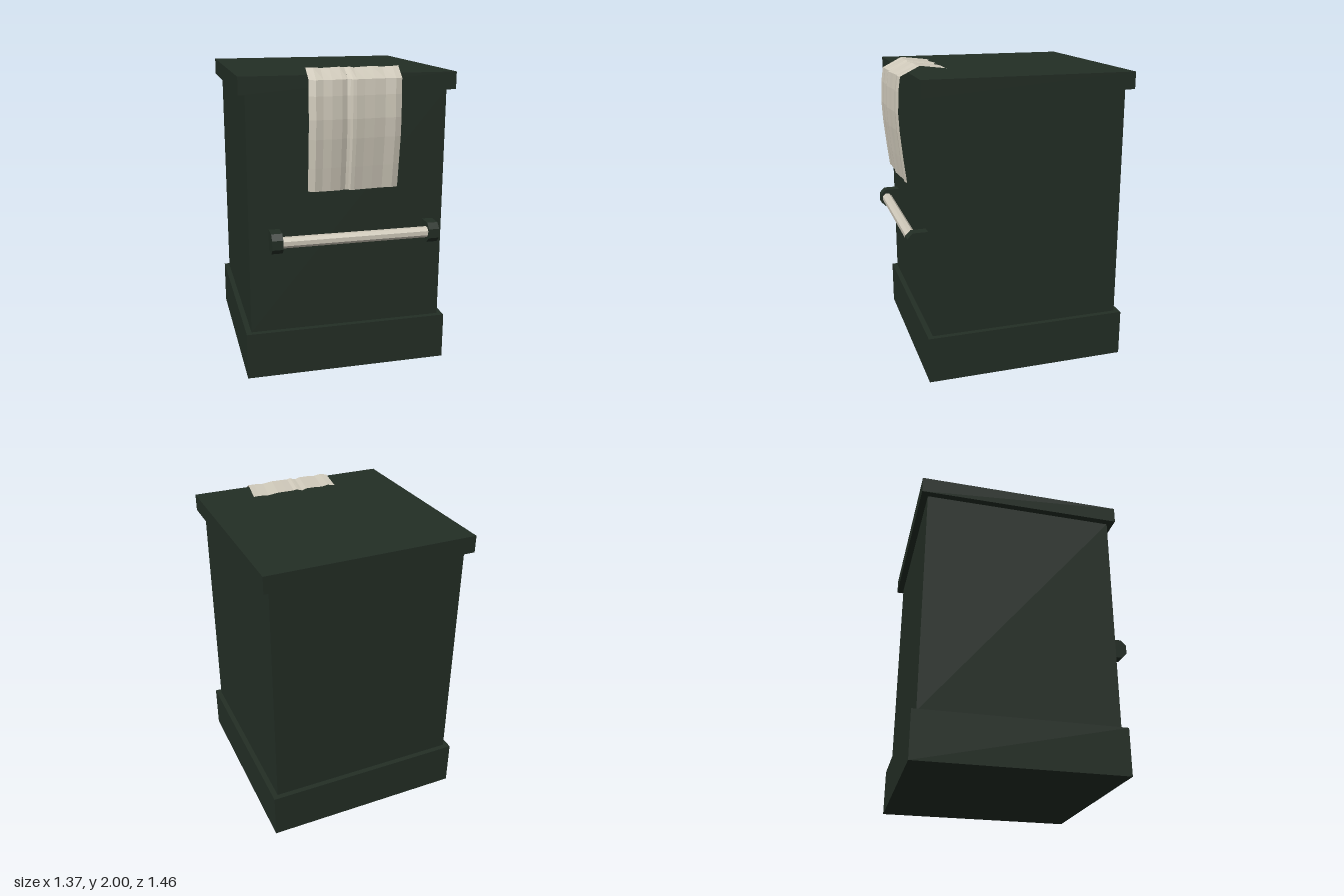
import * as THREE from 'three';

const green = new THREE.MeshStandardMaterial({ color: 0x232e25, flatShading: true });
green.name = 'dark green enamel';
const cream = new THREE.MeshStandardMaterial({ color: 0xcfc9ba, flatShading: true, side: THREE.DoubleSide });
cream.name = 'cream';

function add(group, name, geometry, material, x = 0, y = 0, z = 0) {
  const mesh = new THREE.Mesh(geometry, material);
  mesh.name = name;
  mesh.position.set(x, y, z);
  group.add(mesh);
  return mesh;
}

// Square slab between two heights
function slab(group, name, size, y0, y1) {
  add(group, name, new THREE.BoxGeometry(size, y1 - y0, size), green, 0, (y0 + y1) / 2, -0.044);
}

// Draped cloth: a side profile swept across pleated columns
function towelGeometry() {
  // [z, y, left edge x, right edge x]
  const rows = [
    [0.4, 1.977, -0.25, 0.348], [0.58, 1.997, -0.265, 0.325], [0.703, 1.935, -0.272, 0.31],
    [0.716, 1.84, -0.275, 0.306], [0.722, 1.7, -0.276, 0.306], [0.716, 1.58, -0.276, 0.306],
    [0.698, 1.4, -0.276, 0.304], [0.68, 1.25, -0.276, 0.303],
  ];
  // [fraction across, pleat depth]
  const columns = [
    [0, -0.014], [0.07, 0.008], [0.15, 0.002], [0.24, 0.006], [0.35, 0], [0.41, -0.012],
    [0.44, -0.006], [0.46, 0.01], [0.5, 0.011], [0.59, 0.004], [0.7, 0], [0.82, -0.008],
    [0.93, -0.002], [1, -0.012],
  ];
  const positions = [], index = [], n = columns.length;
  rows.forEach(([z, y, x0, x1], r) => columns.forEach(([u, pleat], c) => {
    const ripple = r < 2 ? 0.003 * Math.sin(c * 2.1) : 0;
    positions.push(x0 + (x1 - x0) * u, y + ripple, z + pleat);
    if (r && c) {
      const d = r * n + c, a = d - n - 1;
      index.push(a, d - 1, d, a, d, d - n);
    }
  }));
  const geometry = new THREE.BufferGeometry();
  geometry.setAttribute('position', new THREE.Float32BufferAttribute(positions, 3));
  geometry.setIndex(index);
  geometry.computeVertexNormals();
  return geometry;
}

export function createModel() {
  const model = new THREE.Group();
  model.name = 'cabinet';

  // Cabinet body
  slab(model, 'plinth', 1.352, 0, 0.31);
  slab(model, 'body', 1.282, 0.31, 1.85);
  slab(model, 'top', 1.372, 1.85, 1.96);

  // Rail with chamfered end brackets
  const rail = new THREE.Group();
  rail.name = 'rail';
  model.add(rail);
  const profile = new THREE.Shape([
    [0.59, 0.87], [0.695, 0.87], [0.73, 0.905], [0.73, 0.965], [0.695, 1], [0.59, 1],
  ].map(([z, y]) => new THREE.Vector2(z, y)));
  const bracket = new THREE.ExtrudeGeometry(profile, { depth: 0.07, bevelEnabled: false }).rotateY(-Math.PI / 2);
  add(rail, 'rightBracket', bracket, green, -0.445);
  add(rail, 'leftBracket', bracket, green, 0.577);
  const bar = new THREE.CylinderGeometry(0.036, 0.036, 0.99, 8).rotateY(Math.PI / 8).rotateZ(Math.PI / 2);
  add(rail, 'bar', bar, cream, 0.031, 0.937, 0.685);

  // Towel hanging over the front edge
  add(model, 'towel', towelGeometry(), cream);
  return model;
}
